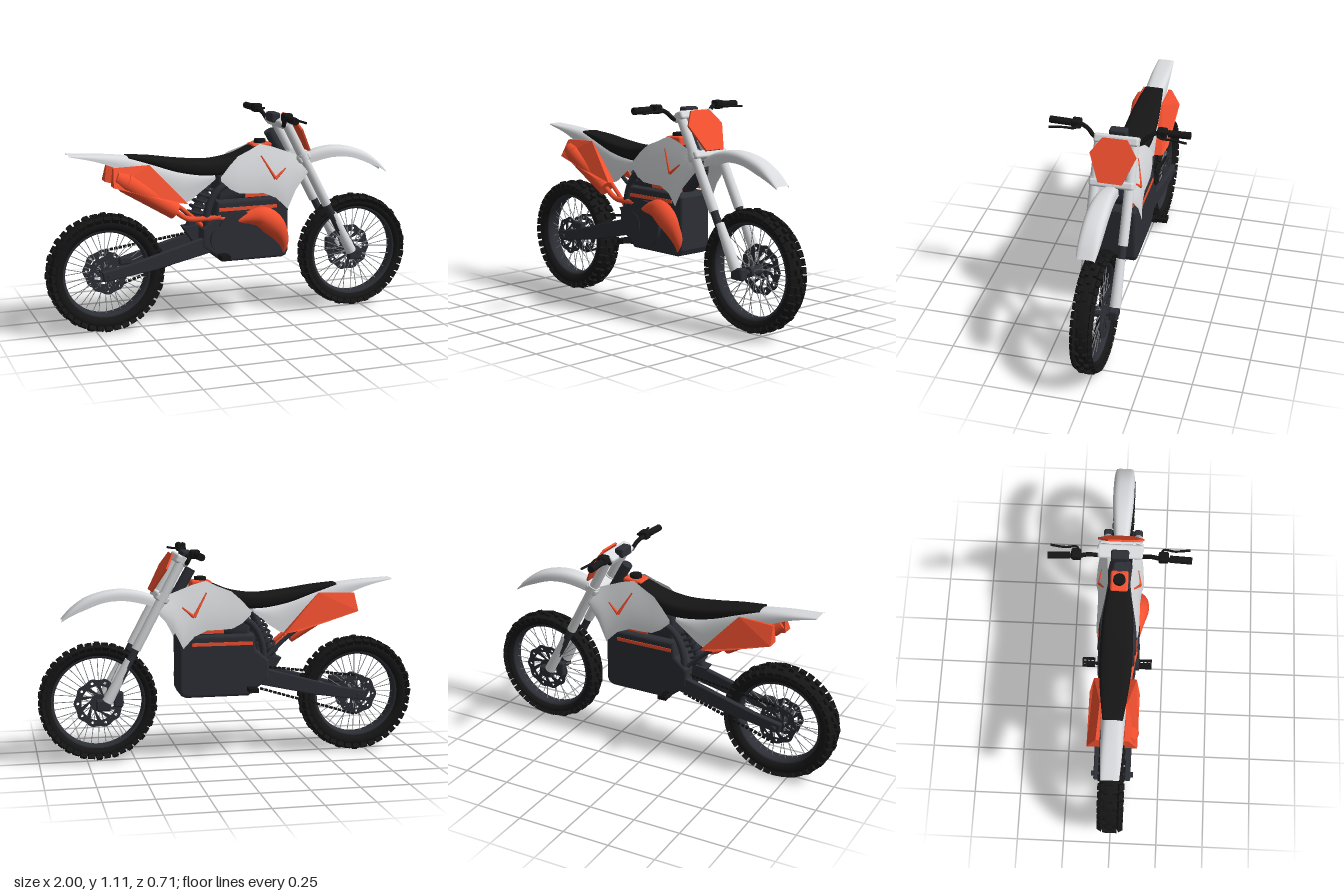
import * as THREE from 'three';
import { mergeGeometries } from 'three/addons/utils/BufferGeometryUtils.js';
import { RoundedBoxGeometry } from 'three/addons/geometries/RoundedBoxGeometry.js';

const mat = (color) => new THREE.MeshStandardMaterial({ color, side: THREE.DoubleSide });
const white = mat(0xd9dbde), orange = mat(0xf2502f), dark = mat(0x2d2f36), black = mat(0x161616), steel = mat(0x8a8c90);
const V = (p) => new THREE.Vector3(...p);

function add(parent, name, geo, material, pos = [0, 0, 0]) {
  const m = new THREE.Mesh(geo, material);
  m.name = name;
  m.position.set(...pos);
  parent.add(m);
  return m;
}

// Cylinder between two points
function rod(a, b, r0, r1 = r0, seg = 16) {
  const d = V(b).sub(V(a));
  const g = new THREE.CylinderGeometry(r1, r0, d.length(), seg);
  g.applyQuaternion(new THREE.Quaternion().setFromUnitVectors(V([0, 1, 0]), d.clone().normalize()));
  return g.translate(...V(a).addScaledVector(d, 0.5).toArray());
}
const disc = (r, w, seg = 32) => new THREE.CylinderGeometry(r, r, w, seg).rotateX(Math.PI / 2);
const pipe = (pts, r) => new THREE.TubeGeometry(new THREE.CatmullRomCurve3(pts.map(V)), 32, r, 10);

// Surface through rows of points
function skin(rows, closed = false) {
  const n = rows[0].length, idx = [];
  for (let i = 0; i < rows.length - 1; i++) {
    for (let j = 0; j < (closed ? n : n - 1); j++) {
      const a = i * n + j, b = i * n + (j + 1) % n;
      idx.push(a, b, a + n, b, b + n, a + n);
    }
  }
  const g = new THREE.BufferGeometry();
  g.setAttribute('position', new THREE.Float32BufferAttribute(rows.flat(2), 3));
  g.setIndex(idx);
  g.computeVertexNormals();
  return g;
}

// Loft along x from stations [x, top, bottom, halfWidth]; an open loft is an arch
function loft(stations, closed) {
  const curve = (k) => new THREE.CatmullRomCurve3(stations.map((s) => new THREE.Vector3(s[0], s[k], s[3])));
  const top = curve(1), bot = curve(2), pw = (v) => Math.sign(v) * Math.abs(v) ** 0.6;
  const rows = [], N = 28, M = closed ? 24 : 16;
  for (let i = 0; i <= N; i++) {
    const t = top.getPoint(i / N), b = bot.getPoint(i / N), row = [];
    const base = closed ? (t.y + b.y) / 2 : b.y;
    for (let j = 0; j < (closed ? M : M + 1); j++) {
      const a = (j / M) * Math.PI * (closed ? 2 : 1);
      row.push([t.x, base + (t.y - base) * pw(Math.sin(a)), t.z * pw(Math.cos(a))]);
    }
    rows.push(row);
  }
  if (closed) {
    const cap = (row) => row.map((p) => [p[0], (row[0][1]), 0]);
    rows.unshift(cap(rows[0]));
    rows.push(cap(rows[rows.length - 1]));
  }
  return skin(rows, closed);
}

const polygon = (pts) => new THREE.Shape(pts.map((p) => new THREE.Vector2(...p)));
// Extruded side outline, centred on z = 0
const slab = (pts, w, bevel = 0) => new THREE.ExtrudeGeometry(polygon(pts), {
  depth: w - 2 * bevel, bevelEnabled: bevel > 0, bevelSize: bevel, bevelThickness: bevel, bevelOffset: -bevel, bevelSegments: 3,
}).translate(0, 0, bevel - w / 2);

// Perforated wheel disc
function rotor(R, r, n) {
  const s = new THREE.Shape();
  for (let i = 0; i <= 120; i++) {
    const a = (i / 120) * Math.PI * 2, q = R + 0.004 * Math.cos(n * a);
    s[i ? 'lineTo' : 'moveTo'](q * Math.cos(a), q * Math.sin(a));
  }
  for (let i = 0; i < n; i++) {
    const a = (i / n) * Math.PI * 2, h = Math.PI / n * 0.62, q = new THREE.Path();
    q.absarc(0, 0, R * 0.72, a - h, a + h, false);
    q.absarc(0, 0, r, a + 0.5 + h, a + 0.5 - h, true);
    q.closePath();
    s.holes.push(q);
    const dot = new THREE.Path();
    dot.absellipse(R * 0.86 * Math.cos(a), R * 0.86 * Math.sin(a), R * 0.06, R * 0.06, 0, Math.PI * 2);
    s.holes.push(dot);
  }
  return new THREE.ExtrudeGeometry(s, { depth: 0.005, bevelEnabled: false, curveSegments: 6 });
}

function wheel(name, R, inner, w, count) {
  const g = new THREE.Group();
  g.name = name;
  const T = R - 0.016, mid = (T + inner) / 2;
  const lathe = (pts) => new THREE.LatheGeometry(pts.map((p) => new THREE.Vector2(...p)), 72).rotateX(Math.PI / 2);
  add(g, 'tire', lathe([[inner, -w * 0.5], [inner + 0.012, -w * 0.8], [mid, -w], [T - 0.015, -w * 0.85], [T, -w * 0.4],
    [T, w * 0.4], [T - 0.015, w * 0.85], [mid, w], [inner + 0.012, w * 0.8], [inner, w * 0.5]]), black);
  add(g, 'rim', lathe([[inner + 0.004, -w * 0.62], [inner - 0.008, -w * 0.6], [inner - 0.012, -w * 0.2], [inner - 0.012, w * 0.2],
    [inner - 0.008, w * 0.6], [inner + 0.004, w * 0.62]]), dark);
  // Tread blocks, alternating between rows of three and rows of two
  const knobs = [], spokes = [];
  for (let i = 0; i < count; i++) {
    for (const z of i % 2 ? [-0.88, 0, 0.88] : [-0.88, -0.42, 0.42, 0.88]) {
      const side = Math.abs(z) > 0.8;
      const k = new THREE.BoxGeometry(side ? 0.034 : 0.026, 0.022, w * 0.42);
      k.rotateX(side ? Math.sign(z) * 0.5 : 0).translate(0, R - (side ? 0.022 : 0.011), z * w);
      knobs.push(k.rotateZ((i / count) * Math.PI * 2));
    }
  }
  add(g, 'treadBlocks', mergeGeometries(knobs), black);
  for (let i = 0; i < 36; i++) {
    const a = (i / 36) * Math.PI * 2, b = a + (i % 4 < 2 ? 0.35 : -0.35), s = i % 2 ? 0.03 : -0.03;
    spokes.push(rod([0.03 * Math.cos(b), 0.03 * Math.sin(b), s], [(inner - 0.008) * Math.cos(a), (inner - 0.008) * Math.sin(a), s * 0.2], 0.002, 0.002, 5));
  }
  add(g, 'spokes', mergeGeometries(spokes), steel);
  add(g, 'hub', disc(0.026, 0.085), dark);
  add(g, 'axle', disc(0.014, 0.22, 12), dark);
  return g;
}

export function createModel() {
  const bike = new THREE.Group();
  bike.name = 'dirtBike';

  // Wheels with brake discs and sprocket
  const rear = wheel('rearWheel', 0.308, 0.225, 0.058, 40);
  rear.position.set(-0.692, 0.31, 0);
  add(rear, 'rearBrakeDisc', rotor(0.1, 0.04, 8), dark, [0, 0, 0.048]);
  add(rear, 'sprocket', rotor(0.105, 0.04, 8), dark, [0, 0, -0.053]);
  const front = wheel('frontWheel', 0.308, 0.24, 0.048, 44);
  front.position.set(0.69, 0.32, 0);
  add(front, 'frontBrakeDisc', rotor(0.125, 0.045, 10), dark, [0, 0, -0.052]);
  bike.add(rear, front);

  // Chain links along the two runs
  const links = [];
  for (const [a, b] of [[[-0.67, 0.415], [-0.17, 0.48]], [[-0.67, 0.205], [-0.17, 0.36]]]) {
    const ang = Math.atan2(b[1] - a[1], b[0] - a[0]);
    for (let i = 0; i < 22; i++) {
      const t = i / 21;
      links.push(new THREE.BoxGeometry(0.017, 0.012, 0.012).rotateZ(ang).translate(a[0] + (b[0] - a[0]) * t, a[1] + (b[1] - a[1]) * t, -0.05));
    }
  }
  add(bike, 'chain', mergeGeometries(links), black);

  // Battery and motor block
  add(bike, 'batteryCase', slab([[-0.12, 0.66], [0.255, 0.66], [0.277, 0.64], [0.277, 0.37], [0.265, 0.345], [0.24, 0.335], [-0.09, 0.335],
    [-0.13, 0.37], [-0.2, 0.42], [-0.2, 0.52], [-0.13, 0.58]], 0.2, 0.015), dark);
  add(bike, 'motorCover', disc(0.125, 0.03), dark, [0, 0.475, 0.1]);
  add(bike, 'motorCap', disc(0.07, 0.02), dark, [-0.09, 0.46, 0.108]);
  add(bike, 'tankCore', loft([[-0.1, 0.8, 0.62, 0.06], [0.05, 0.88, 0.64, 0.07], [0.2, 0.9, 0.64, 0.065], [0.33, 0.85, 0.74, 0.04]], true), dark);
  add(bike, 'headTube', rod([0.2, 1.0, 0], [0.33, 0.77, 0], 0.028), dark);

  // Scoop-shaped exhaust chamber and silencer on one side
  const path = [[-0.12, 0.575, 0.008], [-0.02, 0.553, 0.018], [0.06, 0.563, 0.04], [0.125, 0.56, 0.06], [0.19, 0.515, 0.062],
    [0.235, 0.45, 0.042], [0.252, 0.4, 0.023], [0.25, 0.355, 0.004]];
  const scoop = new THREE.CatmullRomCurve3(path.map(V));
  const rings = Array.from({ length: 33 }, (_, i) => {
    const p = scoop.getPoint(i / 32), t = scoop.getTangent(i / 32), l = Math.hypot(t.x, t.y);
    return Array.from({ length: 16 }, (_, j) => {
      const a = (j / 16) * Math.PI * 2, c = p.z * Math.cos(a);
      return [p.x - (t.y / l) * c, p.y + (t.x / l) * c, 0.095 + p.z * Math.sin(a)];
    });
  });
  add(bike, 'exhaustChamber', skin(rings, true), orange);
  add(bike, 'silencer', rod([-0.34, 0.62, 0.075], [-0.6, 0.785, 0.08], 0.042, 0.05, 24), orange);
  add(bike, 'silencerTip', rod([-0.6, 0.785, 0.08], [-0.65, 0.815, 0.08], 0.05, 0.034, 24), orange);
  add(bike, 'exhaustPipe', pipe([[-0.34, 0.62, 0.075], [-0.27, 0.575, 0.07], [-0.18, 0.57, 0.08], [-0.1, 0.575, 0.095]], 0.014), orange);

  // Rear shock with coil spring
  const sa = V([-0.13, 0.76, 0]), sb = V([-0.25, 0.5, 0]);
  add(bike, 'shockBody', rod(sa.toArray(), sb.toArray(), 0.022), dark);
  const coil = Array.from({ length: 97 }, (_, i) => {
    const a = (i / 16) * Math.PI * 2, p = sa.clone().lerp(sb, 0.15 + 0.7 * i / 96);
    return p.add(V([0.038 * Math.cos(a) * 0.91, -0.038 * Math.cos(a) * 0.42, 0.038 * Math.sin(a)]));
  });
  add(bike, 'shockSpring', new THREE.TubeGeometry(new THREE.CatmullRomCurve3(coil), 160, 0.008, 6), dark);
  add(bike, 'shockLinkage', slab([[-0.28, 0.52], [-0.2, 0.53], [-0.13, 0.44], [-0.2, 0.4]], 0.07), dark);

  // Bodywork on the centre line
  add(bike, 'frontFender', loft([[0.37, 0.855, 0.8, 0.035], [0.45, 0.885, 0.825, 0.042], [0.55, 0.902, 0.845, 0.05], [0.65, 0.893, 0.84, 0.055],
    [0.75, 0.86, 0.805, 0.055], [0.82, 0.81, 0.775, 0.052], [0.87, 0.757, 0.745, 0.045]]), white);
  add(bike, 'rearFender', loft([[-0.875, 0.932, 0.925, 0.045], [-0.75, 0.927, 0.897, 0.053], [-0.66, 0.92, 0.865, 0.056], [-0.55, 0.905, 0.81, 0.06],
    [-0.4, 0.86, 0.72, 0.064], [-0.28, 0.825, 0.66, 0.068], [-0.2, 0.81, 0.71, 0.07], [-0.12, 0.8, 0.77, 0.072]]), white);
  add(bike, 'seat', loft([[-0.57, 0.913, 0.9, 0.05], [-0.45, 0.902, 0.86, 0.066], [-0.3, 0.88, 0.81, 0.08], [-0.13, 0.867, 0.785, 0.082],
    [0, 0.888, 0.8, 0.076], [0.06, 0.912, 0.84, 0.066], [0.11, 0.935, 0.87, 0.054]], true), black);
  add(bike, 'fillerPanel', new RoundedBoxGeometry(0.11, 0.06, 0.09, 3, 0.012), orange, [0.15, 0.91, 0]).rotation.z = 0.05;
  add(bike, 'fillerCap', new THREE.CylinderGeometry(0.03, 0.032, 0.025, 20), black, [0.15, 0.945, 0]);

  // Number plate, drawn in its own plane and tilted back
  const plate = add(bike, 'numberPlate', slab([[-0.062, 0.11], [0.062, 0.11], [0.117, 0.03], [0.06, -0.11], [-0.06, -0.11], [-0.117, 0.03]], 0.01), orange, [0.357, 0.985, 0]);
  plate.rotation.set(0, Math.PI / 2, 0);
  plate.rotation.order = 'YXZ';
  plate.rotation.x = -0.52;

  // Fork clamps and handlebar mount
  const lean = Math.atan2(0.255, 0.48);
  for (const [name, x, y, h] of [['upperClamp', 0.258, 1.05, 0.045], ['lowerClamp', 0.362, 0.86, 0.04]]) {
    add(bike, name, new RoundedBoxGeometry(0.07, h, 0.225, 3, 0.012), white, [x, y, 0]).rotation.z = lean;
  }
  add(bike, 'barMount', new RoundedBoxGeometry(0.05, 0.05, 0.09, 2, 0.01), dark, [0.225, 1.07, 0]);
  add(bike, 'handlebar', pipe([[0.205, 1.09, 0.35], [0.21, 1.09, 0.2], [0.225, 1.075, 0.155], [0.24, 1.035, 0.11], [0.235, 1.05, 0.05],
    [0.235, 1.05, -0.05], [0.24, 1.035, -0.11], [0.225, 1.075, -0.155], [0.21, 1.09, -0.2], [0.205, 1.09, -0.35]], 0.011), black);

  // Radiator shroud surface: stations [x, top, bottom, zTop, zBottom]
  const shroud = [[-0.1, 0.785, 0.765, 0.1, 0.1], [-0.05, 0.84, 0.72, 0.092, 0.108], [0, 0.885, 0.695, 0.08, 0.11], [0.07, 0.912, 0.69, 0.066, 0.11],
    [0.13, 0.94, 0.69, 0.056, 0.11], [0.2, 0.922, 0.66, 0.06, 0.115], [0.26, 0.9, 0.6, 0.065, 0.127], [0.31, 0.882, 0.7, 0.07, 0.12],
    [0.38, 0.856, 0.78, 0.078, 0.106], [0.395, 0.85, 0.815, 0.08, 0.1]];
  const shroudZ = ([, top, bot, z0, z1], y) => z0 + (z1 - z0) * Math.sin(Math.min(1, (top - y) / (top - bot)) * Math.PI / 2);

  for (const s of [1, -1]) {
    // Fork leg
    add(bike, 'forkUpperTube', rod([0.25, 1.07, 0.088 * s], [0.5, 0.6, 0.088 * s], 0.025), white);
    add(bike, 'forkCollar', rod([0.35, 0.882, 0.088 * s], [0.368, 0.848, 0.088 * s], 0.031), white);
    add(bike, 'forkSlider', rod([0.5, 0.6, 0.088 * s], [0.66, 0.3, 0.088 * s], 0.02), dark);
    add(bike, 'forkGuard', rod([0.535, 0.545, 0.085 * s], [0.65, 0.33, 0.085 * s], 0.023, 0.029), white);
    add(bike, 'forkFoot', new RoundedBoxGeometry(0.075, 0.06, 0.045, 2, 0.01), dark, [0.67, 0.315, 0.085 * s]);

    // Swingarm
    add(bike, 'swingarm', slab([[-0.73, 0.335], [-0.58, 0.365], [-0.18, 0.475], [-0.12, 0.44], [-0.16, 0.39], [-0.45, 0.325], [-0.72, 0.285]], 0.03, 0.006), dark, [0, 0, 0.082 * s]);

    // Grip, control cluster and lever
    add(bike, 'grip', rod([0.21, 1.09, 0.245 * s], [0.205, 1.09, 0.355 * s], 0.018), black);
    add(bike, 'switchCluster', new RoundedBoxGeometry(0.05, 0.045, 0.05, 2, 0.01), black, [0.215, 1.093, 0.215 * s]);
    add(bike, 'lever', pipe([[0.225, 1.09, 0.2 * s], [0.258, 1.087, 0.215 * s], [0.255, 1.083, 0.27 * s], [0.265, 1.08, 0.345 * s]], 0.006), black);

    // Shroud with orange inset lines, and orange trim on the battery case
    add(bike, 'shroud', skin(shroud.map((st) => Array.from({ length: 9 }, (_, j) => {
      const y = st[1] + (st[2] - st[1]) * j / 8;
      return [st[0], y, s * shroudZ(st, y)];
    }))), white);
    const on = (i, y) => [shroud[i][0], y, s * shroudZ(shroud[i], y)];
    add(bike, 'shroudInset', mergeGeometries([rod(on(4, 0.88), on(5, 0.76), 0.004, 0.009, 8), rod(on(5, 0.76), on(6, 0.81), 0.009, 0.004, 8)]), orange);
    add(bike, 'trimStripe', new THREE.BoxGeometry(0.32, 0.018, 0.006), orange, [0.05, 0.615, 0.101 * s]);
    add(bike, 'upperTrim', new THREE.BoxGeometry(0.22, 0.035, 0.006), orange, [0.15, 0.685, 0.08 * s]);

    // Side panel: flat inner face, outer face flaring toward the lower rear
    const g = slab([[-0.66, 0.86], [-0.47, 0.865], [-0.4, 0.79], [-0.28, 0.66], [-0.36, 0.675], [-0.67, 0.77]], 1);
    const p = g.attributes.position;
    for (let i = 0; i < p.count; i++) {
      const x = p.getX(i), y = p.getY(i);
      const outer = 0.08 + 0.5 * (0.86 - y) - 0.32 * Math.max(0, x + 0.5);
      p.setZ(i, p.getZ(i) * s > 0 ? s * outer : s * 0.062);
    }
    g.computeVertexNormals();
    add(bike, 'sidePanel', g, orange);

    // Frame tubes, foot peg
    add(bike, 'subframe', pipe([[-0.45, 0.74, 0.05 * s], [-0.3, 0.63, 0.055 * s], [-0.22, 0.56, 0.06 * s], [-0.16, 0.5, 0.07 * s]], 0.011), s > 0 ? orange : dark);
    add(bike, 'frameSpar', pipe([[0.3, 0.82, 0.035 * s], [0.1, 0.77, 0.075 * s], [-0.1, 0.72, 0.075 * s], [-0.17, 0.58, 0.075 * s], [-0.15, 0.42, 0.075 * s]], 0.018), dark);
    const peg = [rod([-0.1, 0.36, 0.09 * s], [-0.1, 0.375, 0.18 * s], 0.009)];
    for (const x of [-0.12, -0.08]) peg.push(new THREE.BoxGeometry(0.008, 0.022, 0.06).translate(x, 0.378, 0.152 * s));
    for (const z of [0.122, 0.142, 0.162, 0.182]) peg.push(new THREE.BoxGeometry(0.048, 0.022, 0.007).translate(-0.1, 0.378, z * s));
    add(bike, 'footPeg', mergeGeometries(peg), black);
  }

  // Brake calipers
  add(bike, 'frontCaliper', new RoundedBoxGeometry(0.05, 0.08, 0.04, 2, 0.01), dark, [0.59, 0.34, -0.065]);
  add(bike, 'rearCaliper', new RoundedBoxGeometry(0.07, 0.04, 0.035, 2, 0.01), dark, [-0.6, 0.38, 0.055]);
  return bike;
}
